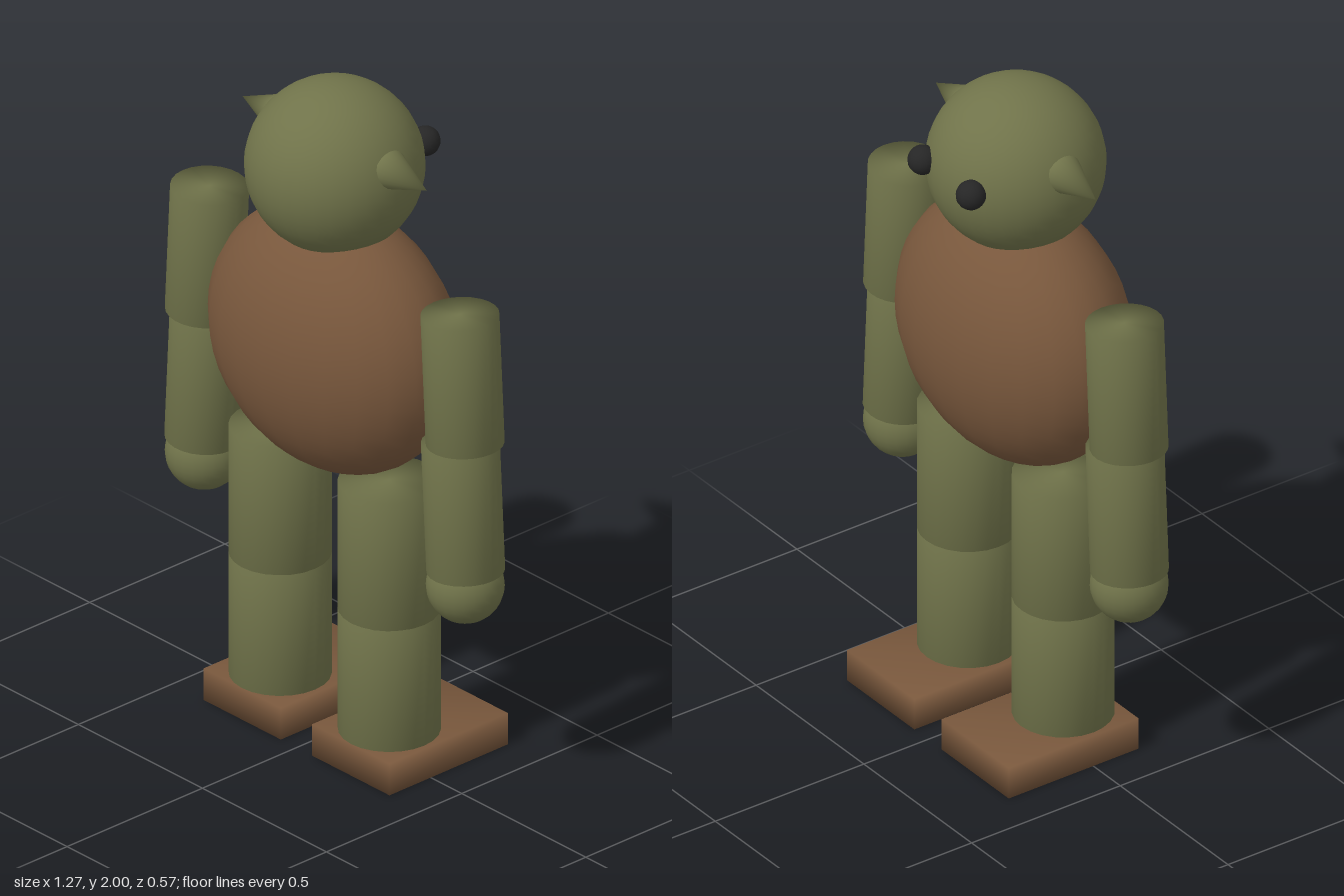
import * as THREE from 'three';
import { mergeVertices } from 'three/addons/utils/BufferGeometryUtils.js';

const Z = 0.011; // depth of the body axis

// Weld corners so that shading runs smoothly over every edge
function soften(geometry) {
  geometry.deleteAttribute('uv');
  geometry.deleteAttribute('normal');
  const welded = mergeVertices(geometry, 1e-4);
  welded.computeVertexNormals();
  return welded;
}

export function createModel() {
  const model = new THREE.Group();
  model.name = 'creature';

  const material = (name, color) => {
    const m = new THREE.MeshStandardMaterial({ color });
    m.name = name;
    return m;
  };
  const skin = material('olive skin', 0x70734a);
  const leather = material('brown leather', 0x78573c);
  const black = material('eye black', 0x262626);

  const add = (name, geometry, mat, x, y, z = Z, tilt = 0) => {
    const mesh = new THREE.Mesh(geometry, mat);
    mesh.name = name;
    mesh.position.set(x, y, z);
    mesh.rotation.z = tilt;
    model.add(mesh);
    return mesh;
  };

  // Round body and head
  const body = add('body', new THREE.SphereGeometry(1, 24, 24), leather, 0, 1.225);
  body.scale.set(0.42, 0.39, 0.272);
  add('head', new THREE.SphereGeometry(0.248, 32, 24), skin, 0, 1.752);

  // Shared limb shapes
  const armPart = soften(new THREE.CylinderGeometry(0.108, 0.108, 0.388, 24));
  const hand = new THREE.SphereGeometry(0.108, 24, 16);
  const thigh = soften(new THREE.CylinderGeometry(0.141, 0.141, 0.393, 24));
  const shin = soften(new THREE.CylinderGeometry(0.141, 0.141, 0.39, 24));
  const foot = soften(new THREE.BoxGeometry(0.312, 0.097, 0.437));
  const ear = soften(new THREE.ConeGeometry(0.057, 0.15, 20));
  const eye = new THREE.SphereGeometry(0.042, 16, 12);

  for (const [side, s] of [['left', 1], ['right', -1]]) {
    // Arms lean slightly outwards towards the hands
    add(side + 'UpperArm', armPart, skin, s * 0.515, 1.292, Z, s * 0.055);
    add(side + 'Forearm', armPart, skin, s * 0.517, 0.9, Z, s * 0.055);
    add(side + 'Hand', hand, skin, s * 0.526, 0.66);

    // Legs and flat feet, toes towards -z
    add(side + 'Thigh', thigh, skin, s * 0.22, 0.666);
    add(side + 'Shin', shin, skin, s * 0.22, 0.275);
    add(side + 'Foot', foot, leather, s * 0.219, 0.0485, -0.066);

    // Pointed ears and eyes
    add(side + 'Ear', ear, skin, s * 0.296, 1.817, Z, -s * (Math.PI / 2 + 0.04));
    add(side + 'Eye', eye, black, s * 0.112, 1.783, -0.221);
  }
  return model;
}
